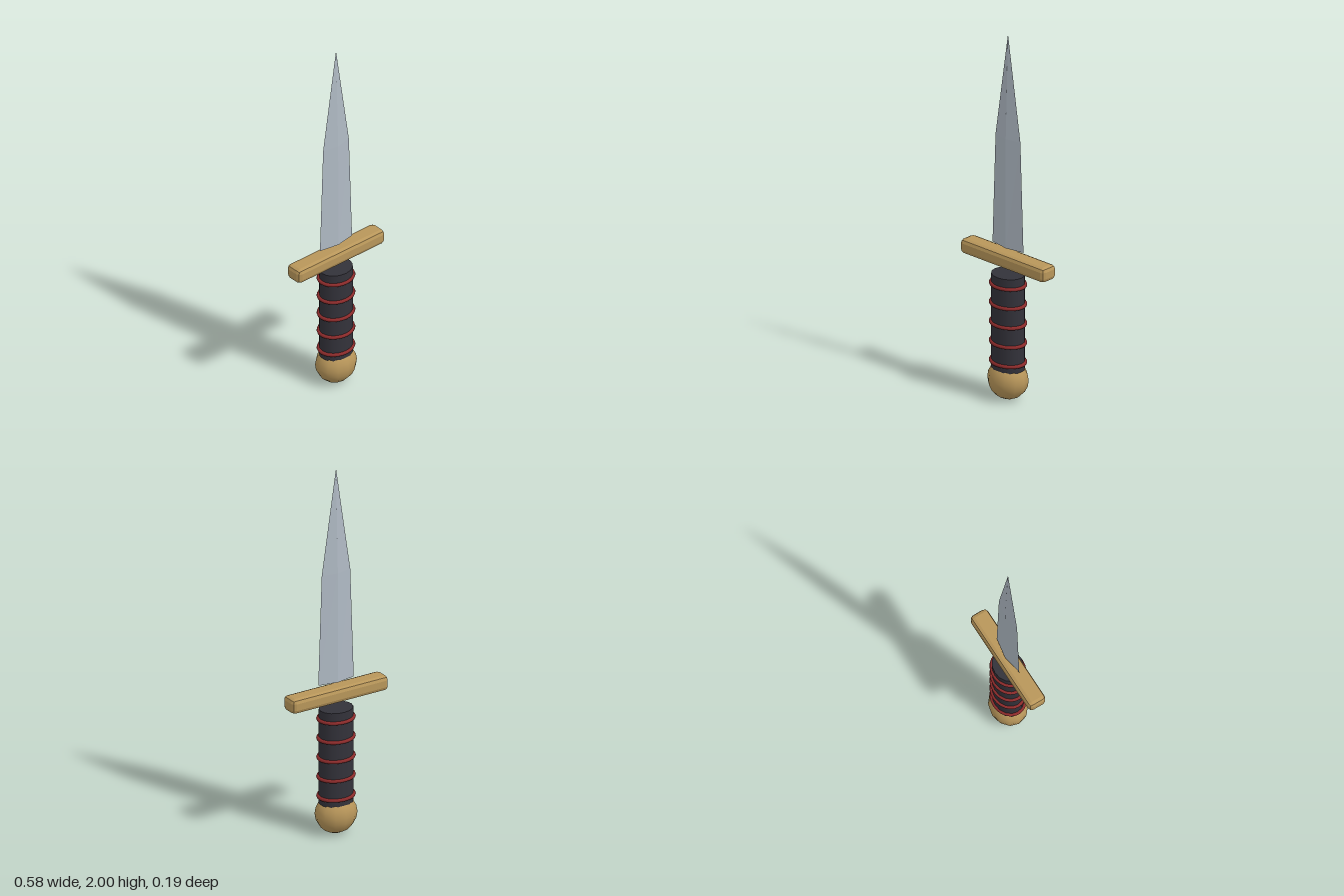
import * as THREE from 'three';
import { RoundedBoxGeometry } from 'three/addons/geometries/RoundedBoxGeometry.js';

const material = (name, color) => {
  const m = new THREE.MeshStandardMaterial({ color });
  m.name = name;
  return m;
};

// Gives every face its own flat normal
function faceted(geometry) {
  const g = geometry.index ? geometry.toNonIndexed() : geometry;
  g.computeVertexNormals();
  return g;
}

// Diamond cross-sections [y, half width, half thickness] joined into a blade
function bladeGeometry(stations) {
  const positions = [], index = [];
  for (const [y, w, t] of stations) positions.push(0, y, t, w, y, 0, 0, y, -t, -w, y, 0);
  for (let s = 0; s < stations.length - 1; s++) {
    for (let i = 0; i < 4; i++) {
      const a = s * 4 + i, b = s * 4 + (i + 1) % 4;
      index.push(a, b, b + 4, a, b + 4, a + 4);
    }
  }
  index.push(0, 2, 1, 0, 3, 2); // base cap
  const g = new THREE.BufferGeometry();
  g.setAttribute('position', new THREE.Float32BufferAttribute(positions, 3));
  g.setIndex(index);
  return faceted(g);
}

export function createModel() {
  const model = new THREE.Group();
  model.name = 'dagger';
  const steel = material('steel', 0xb0bac4);
  const brass = material('brass', 0xb8965a);
  const leather = material('dark leather', 0x33323a);
  const cord = material('red cord', 0x8c2b2b);

  const add = (name, geometry, mat, y) => {
    const mesh = new THREE.Mesh(geometry, mat);
    mesh.name = name;
    mesh.position.y = y;
    model.add(mesh);
    return mesh;
  };

  // Blade, floating just above the guard
  add('blade', bladeGeometry([
    [0.83, 0.107, 0.019],
    [1.43, 0.086, 0.017],
    [2.0, 0.0005, 0.0005],
  ]), steel, 0);

  // Crossguard with bevelled edges
  add('crossguard', faceted(new RoundedBoxGeometry(0.58, 0.08, 0.1, 1, 0.022)), brass, 0.766);

  // Oval grip with evenly spaced cord rings
  const flatten = 0.84;
  add('grip', new THREE.CylinderGeometry(0.092, 0.092, 0.535, 16), leather, 0.418).scale.z = flatten;
  const ring = new THREE.TorusGeometry(0.095, 0.01, 8, 24).rotateX(Math.PI / 2).scale(1, 1, flatten);
  for (let i = 0; i < 5; i++) add('gripRing', ring, cord, 0.206 + i * 0.1065);

  // Pommel
  add('pommel', new THREE.SphereGeometry(1, 12, 10).scale(0.113, 0.107, 0.097), brass, 0.107);

  return model;
}
